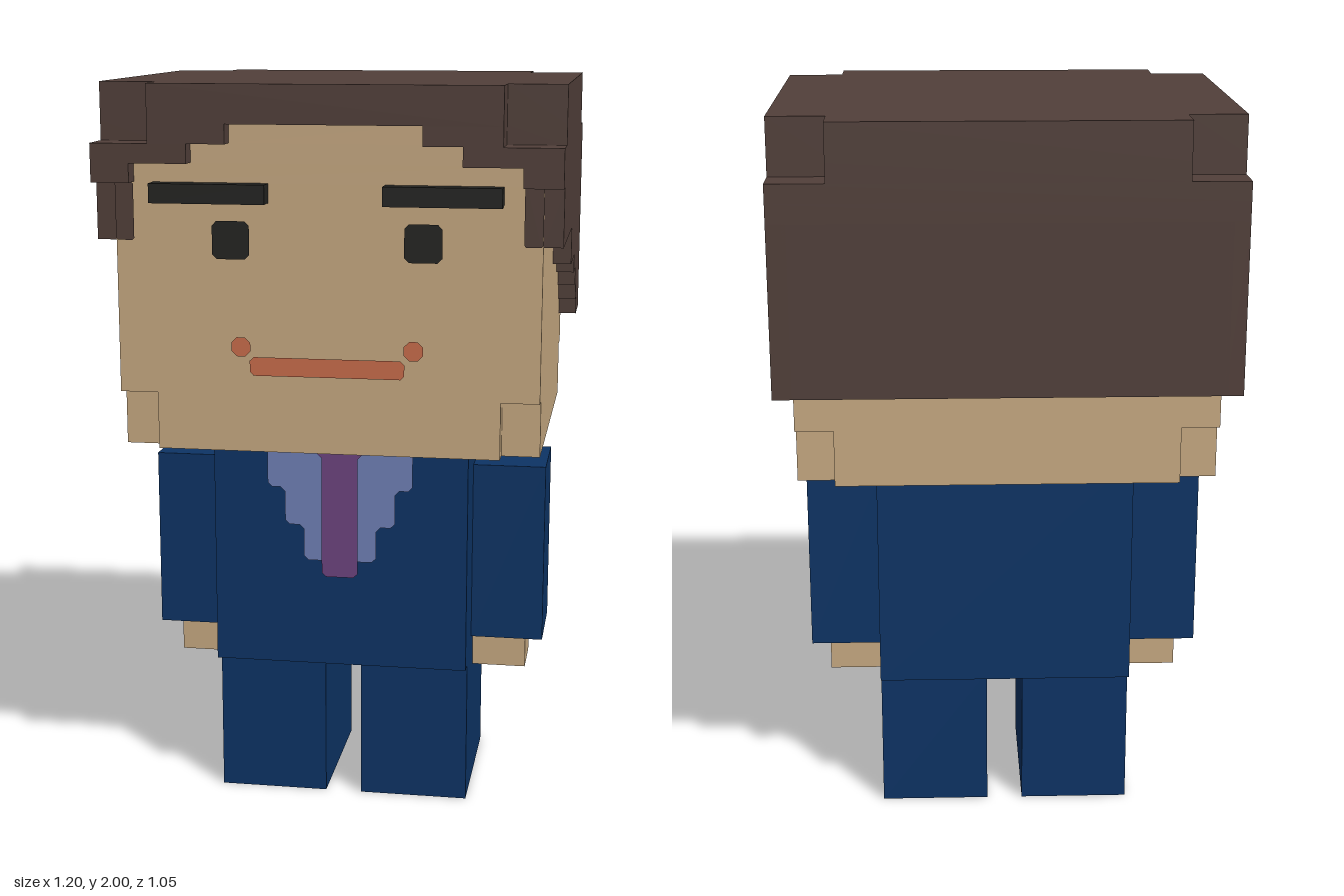
import * as THREE from 'three';

const mat = (name, color) => {
  const m = new THREE.MeshStandardMaterial({ color });
  m.name = name;
  return m;
};

export function createModel() {
  const skin = mat('skin', 0xc9ab83), hair = mat('hair brown', 0x52403a);
  const suit = mat('suit navy', 0x0d3466), shirt = mat('shirt blue', 0x7081b8);
  const tie = mat('tie purple', 0x6e4480), lips = mat('lips', 0xcb6e4c);
  const black = mat('black', 0x242422);
  const model = new THREE.Group();

  const add = (name, geometry, material, parent = model) => {
    const mesh = new THREE.Mesh(geometry, material);
    mesh.name = name;
    parent.add(mesh);
    return mesh;
  };
  const group = (name) => {
    const g = new THREE.Group();
    g.name = name;
    model.add(g);
    return g;
  };
  // Box given by its limits on each axis
  const box = (name, material, [x0, x1], [y0, y1], [z0, z1], parent) => {
    const g = new THREE.BoxGeometry(x1 - x0, y1 - y0, z1 - z0);
    g.translate((x0 + x1) / 2, (y0 + y1) / 2, (z0 + z1) / 2);
    return add(name, g, material, parent);
  };
  const toShape = (pts) => new THREE.Shape(pts.map(([x, y]) => new THREE.Vector2(x, y)));
  // Horizontal slab with notched corners (nx, nz) and a recess in its front edge
  const slab = (name, material, [y0, y1], hx, hz, nx, nz, recess, parent) => {
    let pts = nx
      ? [[-hx, -hz + nz], [-hx + nx, -hz + nz], [-hx + nx, -hz]]
      : [[-hx, -hz]];
    if (recess) pts.push([-recess, -hz], [-recess, -hz + 0.05]);
    pts = [...pts, ...pts.map(([x, y]) => [-x, y]).reverse()];
    pts.push(...(nx
      ? [[hx, hz - nz], [hx - nx, hz - nz], [hx - nx, hz], [-hx + nx, hz], [-hx + nx, hz - nz], [-hx, hz - nz]]
      : [[hx, hz], [-hx, hz]]));
    const g = new THREE.ExtrudeGeometry(toShape(pts), { depth: y1 - y0, bevelEnabled: false });
    g.rotateX(-Math.PI / 2).translate(0, y0, 0);
    return add(name, g, material, parent);
  };
  // Flat painted patch facing the front, with its corners clipped by c
  const patch = (name, material, pts, z, c, parent) => {
    const v = pts.map(([x, y]) => new THREE.Vector2(x, y));
    const cut = v.flatMap((p, i) =>
      [v[(i + v.length - 1) % v.length], v[(i + 1) % v.length]].map((q) =>
        p.clone().add(q.clone().sub(p).setLength(c))));
    const g = new THREE.ShapeGeometry(new THREE.Shape(cut)).translate(0, 0, z);
    return add(name, g, material, parent);
  };
  const rect = (x0, x1, y0, y1) => [[x0, y0], [x1, y0], [x1, y1], [x0, y1]];
  const mirrored = (half) => [...half, ...half.map(([x, y]) => [-x, y]).reverse()];

  // Head
  const head = group('head');
  slab('jaw', skin, [1.05, 1.2], 0.55, 0.475, 0.1, 0.05, 0, head);
  box('face', skin, [-0.55, 0.55], [1.2, 1.75], [-0.475, 0.475], head);
  [[0.5, 1.75, 1.8], [0.35, 1.8, 1.85], [0.25, 1.85, 1.9]].forEach(([w, y0, y1]) =>
    box('forehead', skin, [-w, w], [y0, y1], [0.4, 0.4755], head));

  // Hair: stepped fringe layers, back and stepped sides
  const hairGroup = group('hair');
  slab('hairTop', hair, [1.9, 2], 0.6, 0.525, 0.15, 0.1, 0, hairGroup);
  slab('fringeUpper', hair, [1.85, 1.9], 0.6, 0.525, 0.15, 0.1, 0.25, hairGroup);
  slab('fringeMiddle', hair, [1.8, 1.85], 0.6, 0.525, 0, 0, 0.35, hairGroup);
  slab('fringeLower', hair, [1.75, 1.8], 0.6, 0.525, 0, 0, 0.5, hairGroup);
  box('hairBack', hair, [-0.56, 0.56], [1.3, 1.75], [-0.525, -0.475], hairGroup);
  const sideProfile = toShape([
    [-0.525, 1.3], [-0.375, 1.3], [-0.375, 1.35], [-0.325, 1.35], [-0.325, 1.4],
    [-0.275, 1.4], [-0.275, 1.45], [-0.175, 1.45], [-0.175, 1.5], [0.025, 1.5],
    [0.025, 1.6], [0.475, 1.6], [0.475, 1.75], [-0.525, 1.75],
  ]);
  for (const [side, x] of [['left', 0.6], ['right', -0.55]]) {
    const g = new THREE.ExtrudeGeometry(sideProfile, { depth: 0.05, bevelEnabled: false });
    g.rotateY(-Math.PI / 2).translate(x, 0, 0);
    add(side + 'HairSide', g, hair, hairGroup);
  }

  // Face details
  const faceZ = 0.479;
  const features = group('faceDetails');
  for (const [side, s] of [['left', 1], ['right', -1]]) {
    const span = (a, b) => (s > 0 ? [a, b] : [-b, -a]);
    box(side + 'Eyebrow', black, span(0.15, 0.45), [1.7, 1.75], [0.47, 0.525], features);
    patch(side + 'Eye', black, rect(...span(0.2, 0.297), 1.555, 1.653), faceZ, 0.012, features);
    patch(side + 'MouthCorner', lips, rect(...span(0.2, 0.25), 1.303, 1.353), faceZ, 0.014, features);
    patch(side + 'Sideburn', hair, rect(...span(0.502, 0.55), 1.6, 1.75), faceZ, 0.005, features);

    // Arms, hands and legs
    box(side + 'Arm', suit, span(0.35, 0.55), [0.45, 0.95], [-0.125, 0.125]);
    box(side + 'Hand', skin, span(0.35, 0.5), [0.35, 0.45], [-0.075, 0.075]);
    box(side + 'Leg', suit, span(0.05, 0.35), [0, 0.4], [-0.225, 0.225]);
  }
  patch('mouth', lips, rect(-0.202, 0.202, 1.253, 1.302), faceZ, 0.01, features);

  // Jacket with shirt and tie
  box('jacket', suit, [-0.35, 0.35], [0.4, 1.05], [-0.275, 0.275]);
  patch('shirt', shirt, mirrored([
    [-0.2, 1.05], [-0.2, 0.905], [-0.152, 0.905], [-0.152, 0.8], [-0.1, 0.8], [-0.1, 0.7],
  ]), 0.279, 0.012);
  patch('tie', tie, mirrored([
    [-0.1, 1.05], [-0.1, 1.003], [-0.05, 1.003], [-0.05, 0.655],
  ]), 0.283, 0.012);

  return model;
}
